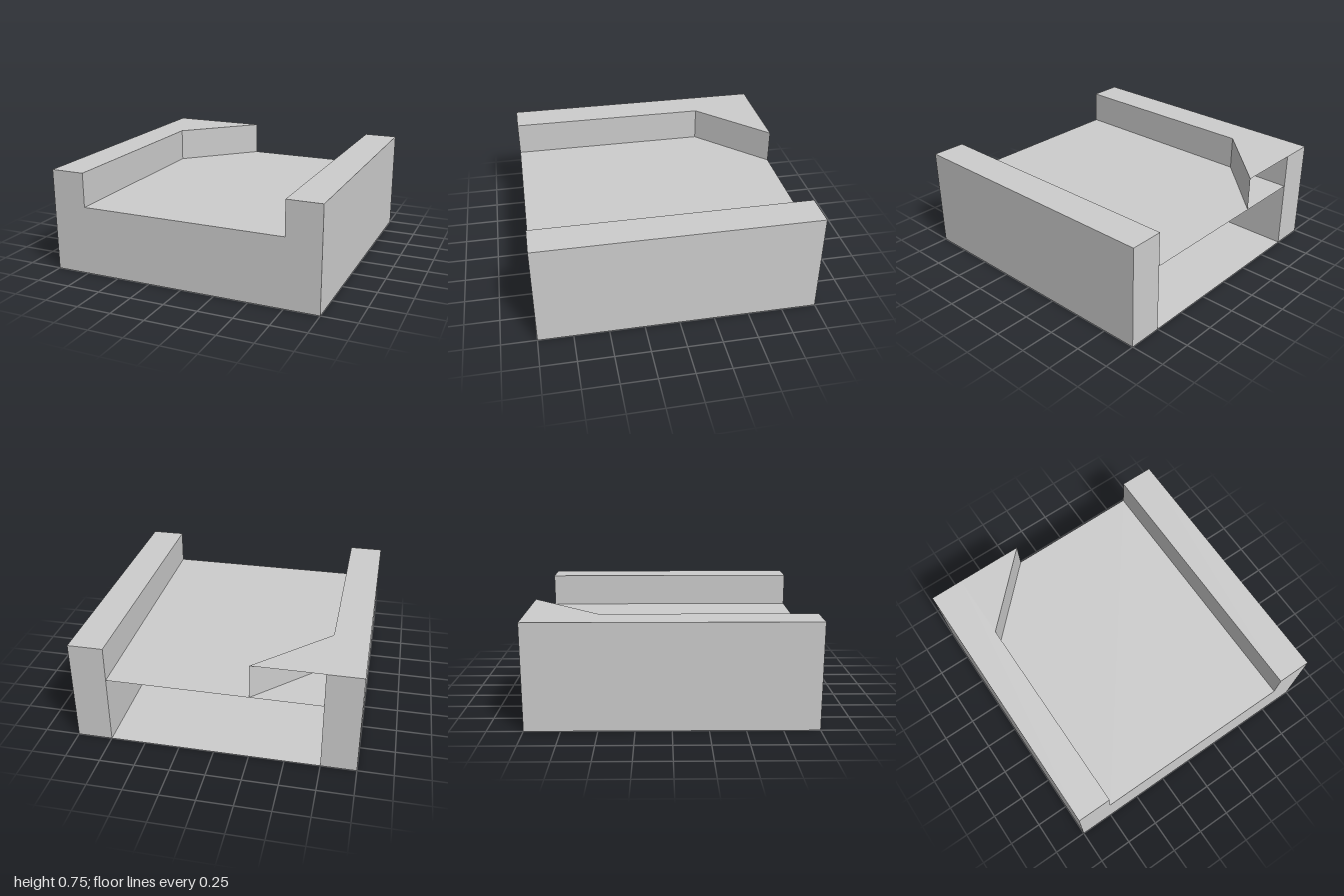
import * as THREE from 'three';

export function createModel() {
  const model = new THREE.Group();
  model.name = 'channelBlock';

  const grey = new THREE.MeshStandardMaterial({ color: 0xcccccc, side: THREE.DoubleSide });
  grey.name = 'plain grey';

  const add = (name, geometry, x, y, z, rx = 0, ry = 0) => {
    const mesh = new THREE.Mesh(geometry, grey);
    mesh.name = name;
    mesh.position.set(x, y, z);
    mesh.rotation.set(rx, ry, 0);
    model.add(mesh);
  };

  // Solid side rails, full height and depth
  for (const [name, side] of [['leftRail', 1], ['rightRail', -1]]) {
    add(name, new THREE.BoxGeometry(0.25, 0.75, 2), side * 0.875, 0.375, 0);
  }

  // Thin sheets between the rails; the back stays open
  add('deck', new THREE.PlaneGeometry(1.5, 2), 0, 0.5, 0, -Math.PI / 2);
  add('floor', new THREE.PlaneGeometry(1.5, 2), 0, 0, 0, Math.PI / 2);
  add('frontWall', new THREE.PlaneGeometry(1.5, 0.5), 0, 0.25, 1);

  // Corner guide at the back right: triangular top and diagonal wall, open behind
  const triangle = new THREE.Shape([
    new THREE.Vector2(-0.75, 0.5),
    new THREE.Vector2(-0.75, 1),
    new THREE.Vector2(-0.25, 1),
  ]);
  add('cornerTop', new THREE.ShapeGeometry(triangle), 0, 0.75, 0, -Math.PI / 2);
  add('cornerWall', new THREE.PlaneGeometry(Math.SQRT1_2, 0.25), -0.5, 0.625, -0.75, 0, Math.PI / 4);

  return model;
}
